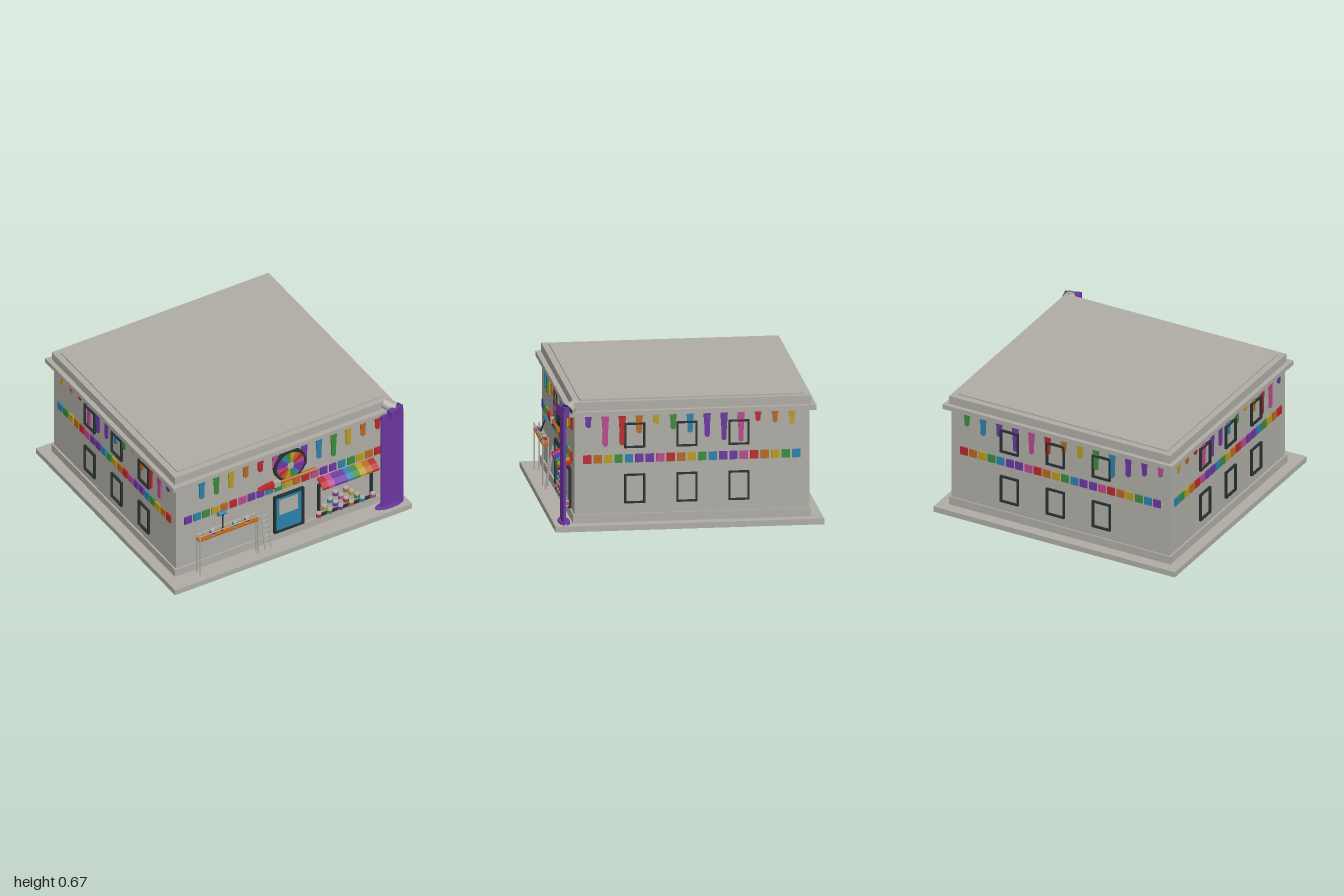
import * as THREE from 'three';

const mat = (name, color) => new THREE.MeshStandardMaterial({ name, color });
const M = {
  grey: mat('stone grey', 0xaeaca4), dark: mat('dark trim', 0x26312f), purple: mat('purple', 0x6b36a0),
  blue: mat('blue', 0x2a80aa), green: mat('green', 0x3b8a3c), gold: mat('gold', 0xb89a22),
  orange: mat('orange', 0xb8661f), red: mat('red', 0xb8282c), pink: mat('pink', 0xb8488c),
};
M.purple.side = THREE.DoubleSide;
const rainbow = [M.red, M.orange, M.gold, M.green, M.blue, M.purple, M.purple, M.pink];
const pick = (i) => rainbow[((i % 8) + 8) % 8];

function add(parent, name, geo, material, x = 0, y = 0, z = 0) {
  const m = new THREE.Mesh(geo, material);
  m.name = name;
  m.position.set(x, y, z);
  parent.add(m);
  return m;
}
// Box given by its lower and upper limits
function box(parent, name, material, x0, x1, y0, y1, z0, z1) {
  return add(parent, name, new THREE.BoxGeometry(x1 - x0, y1 - y0, z1 - z0), material,
    (x0 + x1) / 2, (y0 + y1) / 2, (z0 + z1) / 2);
}
// Cylinder running between two points
function rod(parent, name, material, a, b, r, r2 = r, sides = 8) {
  const p = new THREE.Vector3(...a), q = new THREE.Vector3(...b), d = q.clone().sub(p);
  const m = add(parent, name, new THREE.CylinderGeometry(r2, r, d.length(), sides), material);
  m.position.copy(p.add(q).multiplyScalar(0.5));
  m.quaternion.setFromUnitVectors(new THREE.Vector3(0, 1, 0), d.normalize());
  return m;
}
// Rectangular frame facing +z
function frame(parent, name, x0, x1, y0, y1, z, t = 0.01, depth = 0.01) {
  const s = new THREE.Shape([[x0, y0], [x1, y0], [x1, y1], [x0, y1]].map((p) => new THREE.Vector2(...p)));
  s.holes.push(new THREE.Path([[x0 + t, y0 + t], [x0 + t, y1 - t], [x1 - t, y1 - t], [x1 - t, y0 + t]]
    .map((p) => new THREE.Vector2(...p))));
  return add(parent, name, new THREE.ExtrudeGeometry(s, { depth, bevelEnabled: false }), M.dark, 0, 0, z);
}
// Hanging paint drip with a rounded end
function drip(parent, material, x, bottom, z) {
  const top = 0.59, s = new THREE.Shape(), r = 0.013;
  s.moveTo(x - 0.019, top);
  s.lineTo(x - r, bottom + r + (top - bottom) * 0.3);
  s.lineTo(x - r, bottom + r);
  s.absarc(x, bottom + r, r, Math.PI, Math.PI * 2, false);
  s.lineTo(x + r, bottom + r + (top - bottom) * 0.3);
  s.lineTo(x + 0.019, top);
  add(parent, 'paintDrip', new THREE.ExtrudeGeometry(s, { depth: 0.008, bevelEnabled: false, curveSegments: 6 }), material, 0, 0, z);
}
// Paint can with a coloured label
function can(parent, material, x, y, z, r = 0.014, h = 0.03) {
  add(parent, 'paintCan', new THREE.CylinderGeometry(r, r, h, 12), M.grey, x, y + h / 2, z);
  add(parent, 'canLabel', new THREE.CylinderGeometry(r + 0.001, r + 0.001, h * 0.55, 12), material, x, y + h / 2, z);
}

// Decoration of one wall; k turns the wall's run left or right
function wall(parent, name, turn, dist, k, tiles, drips, windows) {
  const g = new THREE.Group();
  g.name = name;
  g.rotation.y = turn;
  parent.add(g);
  for (let i = 0; i < tiles.n; i++) {
    const u = k * (tiles.start + tiles.step * i);
    box(g, 'rainbowTile', pick(tiles.first - i * tiles.dir), u - 0.021, u + 0.021, 0.339, 0.382, dist, dist + 0.008);
  }
  drips.ends.forEach((end, i) => drip(g, pick(drips.first + drips.dir * i), k * (drips.start + drips.step * i), end, dist));
  if (windows) for (const c of [0.293, 0.026, -0.24]) for (const [y0, y1] of [[0.127, 0.279], [0.415, 0.545]]) {
    frame(g, 'windowFrame', k * c - 0.053, k * c + 0.053, y0, y1, dist, 0.009, 0.012);
  }
}

export function createModel() {
  const g = new THREE.Group();
  g.name = 'paintShop';

  // Building shell
  box(g, 'groundSlab', M.grey, -0.7, 0.7, 0, 0.03, -0.667, 0.705);
  box(g, 'walls', M.grey, -0.632, 0.632, 0.03, 0.6, -0.6, 0.6);
  box(g, 'plinth', M.grey, -0.642, 0.642, 0.03, 0.074, -0.608, 0.608);
  box(g, 'cornice', M.grey, -0.665, 0.665, 0.59, 0.615, -0.633, 0.63);
  box(g, 'parapet', M.grey, -0.64, 0.64, 0.615, 0.66, -0.61, 0.603);
  box(g, 'roof', M.grey, -0.607, 0.607, 0.66, 0.667, -0.576, 0.57);

  // Four decorated walls
  const longRow = { n: 22, start: -0.563, step: 0.0534, first: 5, dir: 1 };
  const sideRow = { n: 21, start: 0.536, step: -0.0534, first: 0, dir: -1 };
  const frontDrips = { start: -0.482, step: 0.0865, first: 4, dir: -1,
    ends: [0.465, 0.46, 0.465, 0.497, 0.5, 0.485, 0.5, 0.44, 0.45, 0.43, 0.467, 0.49, 0.5] };
  const backDrips = { start: 0.54, step: -0.0935, first: 3, dir: 1,
    ends: [0.51, 0.48, 0.5, 0.44, 0.45, 0.47, 0.51, 0.5, 0.46, 0.44, 0.47, 0.5, 0.52] };
  backDrips.first = 3;
  const sideDrips = { start: 0.53, step: -0.0867, first: 6, dir: 1,
    ends: [0.525, 0.425, 0.43, 0.49, 0.535, 0.505, 0.485, 0.46, 0.44, 0.43, 0.535, 0.525, 0.515] };
  wall(g, 'frontWall', 0, 0.6, 1, longRow, frontDrips, false);
  wall(g, 'backWall', Math.PI, 0.6, -1, longRow, backDrips, true);
  wall(g, 'rightWall', Math.PI / 2, 0.632, -1, sideRow, sideDrips, true);
  wall(g, 'leftWall', -Math.PI / 2, 0.632, 1, sideRow, sideDrips, true);

  // Round colour wheel
  const wheel = new THREE.Group();
  wheel.name = 'colourWheel';
  wheel.position.set(0.033, 0.485, 0.6);
  g.add(wheel);
  add(wheel, 'wheelRim', new THREE.CylinderGeometry(0.094, 0.094, 0.018, 40), M.dark, 0, 0, 0.009).rotation.x = Math.PI / 2;
  for (let i = 0; i < 16; i++) {
    add(wheel, 'wheelSector', new THREE.RingGeometry(0.02, 0.08, 4, 1, i * Math.PI / 8, Math.PI / 8), pick(i + 7), 0, 0, 0.02);
  }
  add(wheel, 'wheelHub', new THREE.CircleGeometry(0.021, 20), M.grey, 0, 0, 0.0215);

  // Paintbrush under the wheel
  rod(g, 'brushHandle', M.orange, [-0.035, 0.404, 0.622], [0.178, 0.404, 0.622], 0.008, 0.011);
  box(g, 'brushFerrule', M.grey, -0.07, -0.032, 0.388, 0.416, 0.608, 0.634);
  const bristles = new THREE.Shape([[-0.068, 0.384], [-0.068, 0.418], [-0.11, 0.415], [-0.158, 0.404], [-0.11, 0.39]]
    .map((p) => new THREE.Vector2(...p)));
  add(g, 'brushBristles', new THREE.ExtrudeGeometry(bristles, { depth: 0.026, bevelEnabled: false }), M.red, 0, 0, 0.608);

  // Door
  frame(g, 'doorFrame', -0.058, 0.118, 0.074, 0.307, 0.6, 0.012, 0.014);
  box(g, 'door', M.blue, -0.046, 0.106, 0.074, 0.295, 0.6, 0.608);
  box(g, 'doorPane', M.grey, -0.028, 0.083, 0.182, 0.274, 0.608, 0.611);

  // Shop window with its stack of cans
  frame(g, 'shopWindowFrame', 0.2, 0.522, 0.08, 0.285, 0.6, 0.012, 0.014);
  [[0.093, 6], [0.127, 4], [0.16, 3], [0.192, 2]].forEach(([y, n], row) => {
    for (let i = 0; i < n; i++) can(g, pick(i * 3 + row * 2), 0.325 + (i - (n - 1) / 2) * 0.064 + (n === 6 ? 0.03 : 0), y, 0.627);
  });

  // Striped awning
  const stripes = [M.red, M.pink, M.purple, M.purple, M.blue, M.green, M.gold, M.orange, M.red];
  const profile = new THREE.Shape([[-0.6, 0.315], [-0.6, 0.324], [-0.635, 0.313], [-0.662, 0.296], [-0.662, 0.283], [-0.657, 0.283], [-0.655, 0.293]]
    .map((p) => new THREE.Vector2(...p)));
  const w = 0.332 / stripes.length;
  stripes.forEach((c, i) => {
    const m = add(g, 'awningStripe', new THREE.ExtrudeGeometry(profile, { depth: w, bevelEnabled: false }), c, 0.2 + i * w);
    m.rotation.y = Math.PI / 2;
  });

  // Scaffold, cans and roller
  for (const x of [-0.522, -0.178]) for (const z of [0.628, 0.655]) {
    rod(g, 'scaffoldPost', M.grey, [x, 0.03, z], [x, 0.275, z], 0.004);
  }
  for (const z of [0.628, 0.655]) rod(g, 'scaffoldRail', M.grey, [-0.53, 0.268, z], [-0.17, 0.268, z], 0.003);
  box(g, 'scaffoldPlank', M.orange, -0.527, -0.173, 0.238, 0.247, 0.622, 0.658);
  [[-0.44, M.purple], [-0.308, M.green], [-0.238, M.red]].forEach(([x, c]) => can(g, c, x, 0.247, 0.641));
  rod(g, 'rollerPole', M.dark, [-0.385, 0.247, 0.645], [-0.366, 0.325, 0.62], 0.004);
  rod(g, 'roller', M.blue, [-0.394, 0.335, 0.615], [-0.345, 0.335, 0.615], 0.011, 0.011, 12);

  // Leaning ladder
  for (const x of [-0.135, -0.1]) rod(g, 'ladderRail', M.grey, [x, 0.03, 0.65], [x, 0.247, 0.61], 0.004);
  for (let i = 1; i < 8; i++) {
    const t = i / 8, y = 0.03 + 0.217 * t, z = 0.65 - 0.04 * t;
    rod(g, 'ladderRung', M.grey, [-0.135, y, z], [-0.1, y, z], 0.003);
  }

  // Tipped bucket on the roof edge and the paint pouring from it
  rod(g, 'bucket', M.grey, [0.6, 0.643, 0.59], [0.64, 0.618, 0.64], 0.026, 0.034, 16);
  rod(g, 'bucketRim', M.dark, [0.637, 0.62, 0.637], [0.642, 0.617, 0.643], 0.036, 0.036, 16);
  const pour = box(g, 'pouringPaint', M.purple, 0.585, 0.672, 0.59, 0.642, 0.64, 0.672);
  pour.rotation.y = 0.35;
  box(g, 'paintSheet', M.purple, 0.545, 0.675, 0.03, 0.618, 0.65, 0.662);
  const puddle = add(g, 'paintPuddle', new THREE.CylinderGeometry(0.078, 0.082, 0.008, 20), M.purple, 0.597, 0.034, 0.65);
  puddle.scale.z = 0.38;
  return g;
}
